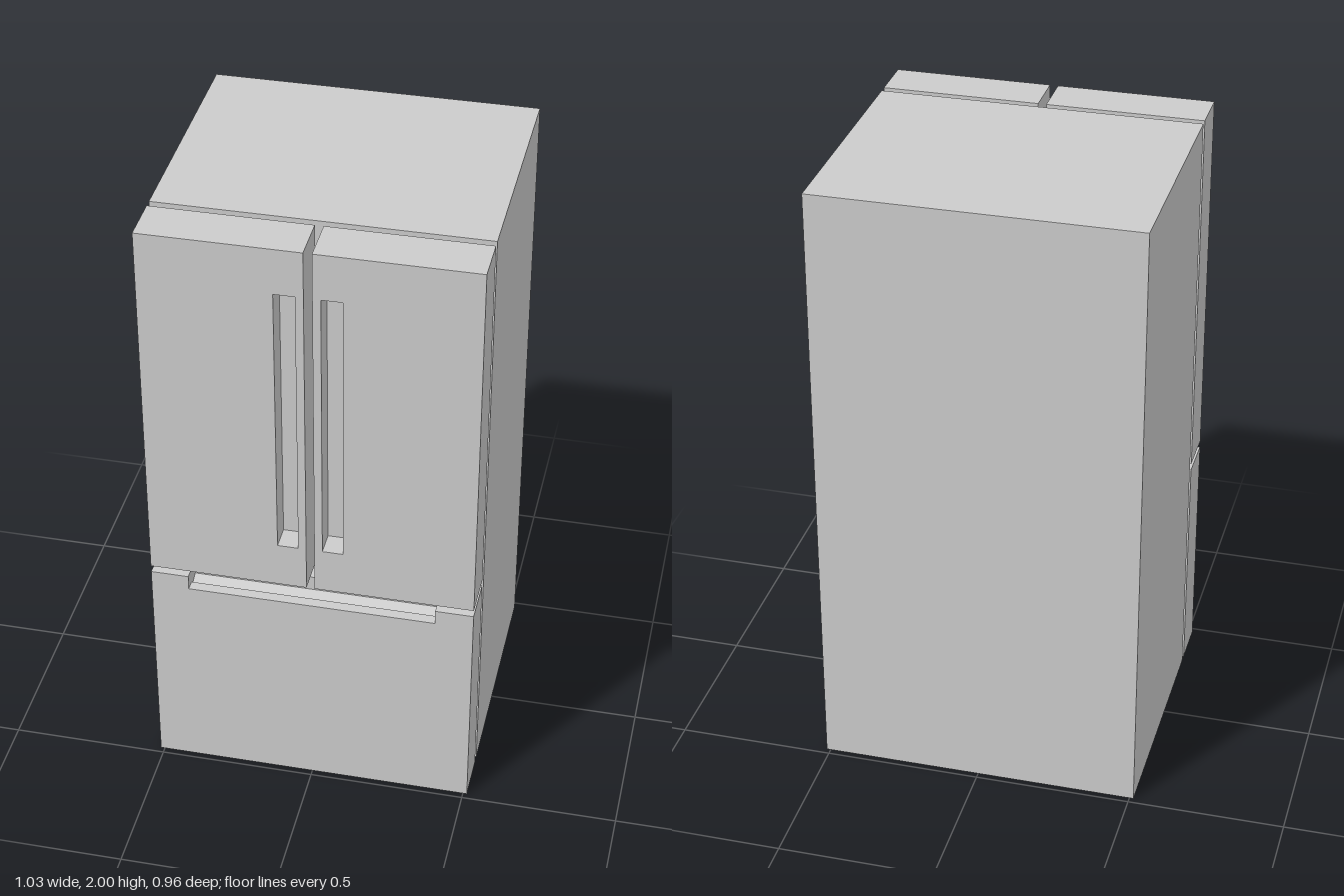
import * as THREE from 'three';

const HALF_W = 0.513, BACK = -0.48, BODY_FRONT = 0.303;
const DOOR_BACK = 0.327, POCKET_BACK = 0.40, FRONT = 0.48;
const GAP = 0.013, DOOR_Y = 0.775, DRAWER_TOP = 0.752;

const material = new THREE.MeshStandardMaterial({ color: 0xcccccc, flatShading: true });

function add(parent, name, geometry) {
  const mesh = new THREE.Mesh(geometry, material);
  mesh.name = name;
  parent.add(mesh);
  return mesh;
}

// Box given by its minimum and maximum corners
function box(x0, x1, y0, y1, z0, z1) {
  return new THREE.BoxGeometry(x1 - x0, y1 - y0, z1 - z0)
    .translate((x0 + x1) / 2, (y0 + y1) / 2, (z0 + z1) / 2);
}

function rectPoints(x0, x1, y0, y1) {
  return [[x0, y0], [x1, y0], [x1, y1], [x0, y1]].map(([x, y]) => new THREE.Vector2(x, y));
}

// Upper door with a tall recessed grip; side is +1 (left) or -1 (right)
function createDoor(side) {
  const door = new THREE.Group();
  door.name = side > 0 ? 'leftDoor' : 'rightDoor';
  const span = (a, b) => (side > 0 ? [a, b] : [-b, -a]);
  const [x0, x1] = span(GAP, HALF_W);
  const [g0, g1] = span(0.038, 0.103);
  add(door, 'doorBackPanel', box(x0, x1, DOOR_Y, 2, DOOR_BACK, POCKET_BACK));

  const face = new THREE.Shape(rectPoints(x0, x1, DOOR_Y, 2));
  face.holes.push(new THREE.Path(rectPoints(g0, g1, 0.927, 1.848)));
  add(door, 'doorFrontWithGrip', new THREE.ExtrudeGeometry(face, {
    depth: FRONT - POCKET_BACK, bevelEnabled: false,
  }).translate(0, 0, POCKET_BACK));
  return door;
}

// Freezer drawer with a wide finger groove along its top edge
function createDrawer() {
  const drawer = new THREE.Group();
  drawer.name = 'freezerDrawer';
  const grip = 0.393;
  const profile = new THREE.Shape([
    [DOOR_BACK, 0], [FRONT, 0], [FRONT, 0.703], [0.445, 0.703],
    [0.445, 0.685], [POCKET_BACK, 0.703], [POCKET_BACK, DRAWER_TOP], [DOOR_BACK, DRAWER_TOP],
  ].map(([z, y]) => new THREE.Vector2(z, y)));
  // Profile lies in z-y; turn it so that it runs along x
  add(drawer, 'drawerGripSection', new THREE.ExtrudeGeometry(profile, {
    depth: 2 * grip, bevelEnabled: false,
  }).rotateY(-Math.PI / 2).translate(grip, 0, 0));
  add(drawer, 'drawerLeftEnd', box(grip, HALF_W, 0, DRAWER_TOP, DOOR_BACK, FRONT));
  add(drawer, 'drawerRightEnd', box(-HALF_W, -grip, 0, DRAWER_TOP, DOOR_BACK, FRONT));
  return drawer;
}

export function createModel() {
  const fridge = new THREE.Group();
  fridge.name = 'refrigerator';
  add(fridge, 'cabinet', box(-HALF_W, HALF_W, 0, 2, BACK, BODY_FRONT));
  for (const side of [1, -1]) fridge.add(createDoor(side));
  fridge.add(createDrawer());
  return fridge;
}
